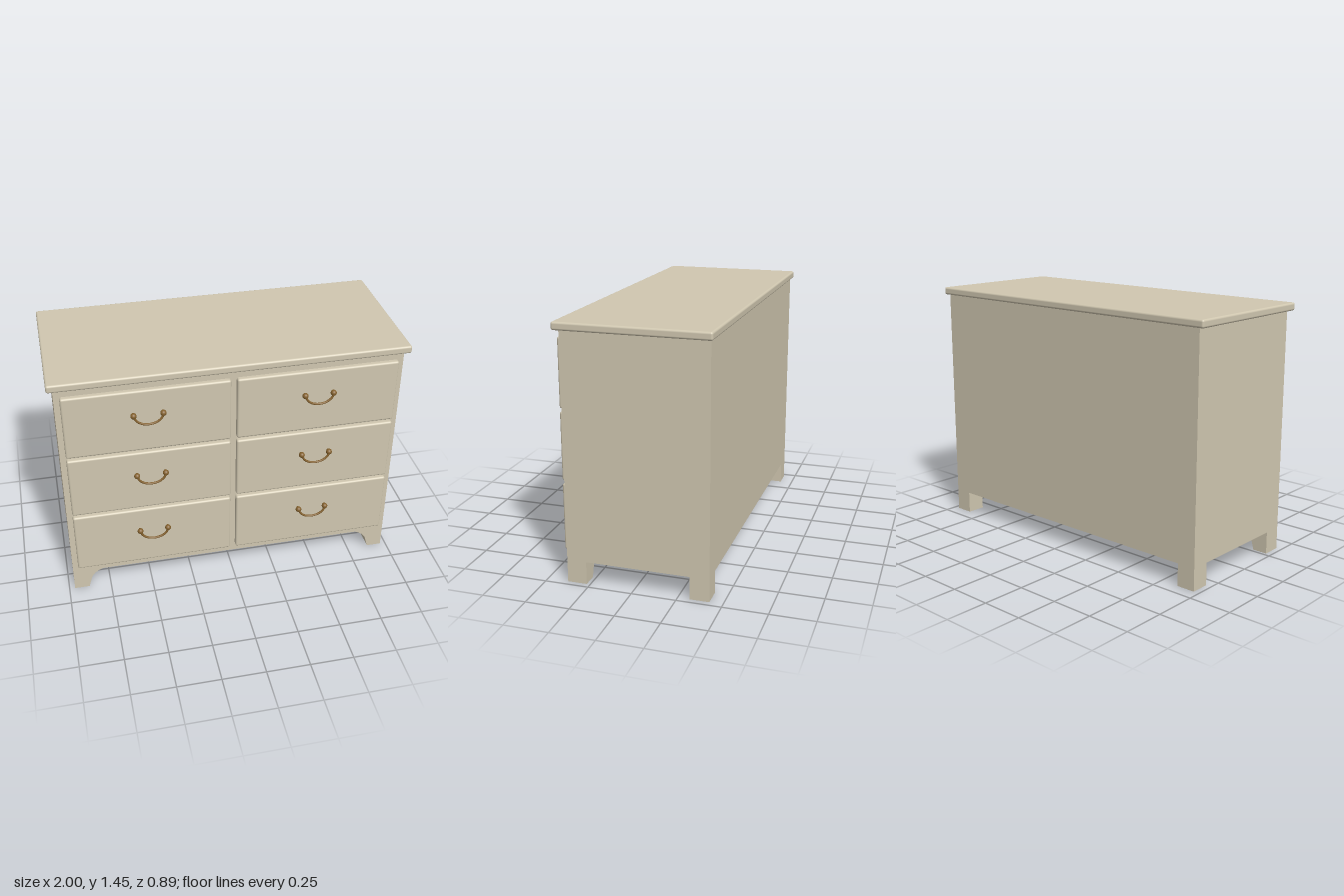
import * as THREE from 'three';
import { RoundedBoxGeometry } from 'three/addons/geometries/RoundedBoxGeometry.js';

export function createModel() {
  const model = new THREE.Group();
  model.name = 'chestOfDrawers';
  const paint = new THREE.MeshStandardMaterial({ name: 'creamPaint', color: 0xd0c7b0 });
  const brass = new THREE.MeshStandardMaterial({ name: 'agedBrass', color: 0x85622f });

  function add(parent, name, geometry, material, x = 0, y = 0, z = 0) {
    const mesh = new THREE.Mesh(geometry, material);
    mesh.name = name;
    mesh.position.set(x, y, z);
    parent.add(mesh);
    return mesh;
  }

  // Carcass and overhanging top
  add(model, 'carcass', new THREE.BoxGeometry(1.934, 1.28, 0.805), paint, 0, 0.77, -0.0225);
  add(model, 'top', new RoundedBoxGeometry(2, 0.045, 0.852, 3, 0.012), paint, 0, 1.4315, -0.016);

  // Front bracket foot outline, for the +x side
  const foot = [[0.967, 0], [0.967, 0.13], [0.79, 0.13], [0.815, 0.118], [0.84, 0.1], [0.858, 0.075], [0.88, 0]];
  for (const side of [-1, 1]) {
    const label = side > 0 ? 'left' : 'right';
    const outline = new THREE.Shape(foot.map(([x, y]) => new THREE.Vector2(x * side, y)));
    add(model, label + 'FrontFoot',
      new THREE.ExtrudeGeometry(outline, { depth: 0.11, bevelEnabled: false }), paint, 0, 0, 0.27);
    add(model, label + 'BackFoot',
      new THREE.BoxGeometry(0.109, 0.13, 0.11), paint, side * 0.9125, 0.065, -0.37);
  }

  // Drop handle: two knobs on stems with a hanging bail
  const bail = new THREE.CatmullRomCurve3([
    [-0.08, -0.004], [-0.067, -0.028], [-0.04, -0.048], [0, -0.056],
    [0.04, -0.048], [0.067, -0.028], [0.08, -0.004],
  ].map(([x, y]) => new THREE.Vector3(x, y, 0.437)));
  const bailGeometry = new THREE.TubeGeometry(bail, 28, 0.0065, 10);
  const knobGeometry = new THREE.SphereGeometry(0.017, 20, 14);
  const stemGeometry = new THREE.CylinderGeometry(0.008, 0.008, 0.03, 14).rotateX(Math.PI / 2);

  function createHandle(x, y) {
    const handle = new THREE.Group();
    handle.name = 'handle';
    handle.position.set(x, y, 0);
    add(handle, 'bail', bailGeometry, brass);
    for (const side of [-1, 1]) {
      add(handle, 'knob', knobGeometry, brass, side * 0.081, 0, 0.428);
      add(handle, 'stem', stemGeometry, brass, side * 0.081, 0, 0.415);
    }
    return handle;
  }

  // Two columns of three drawers, with softly rounded fronts
  const frontGeometry = new RoundedBoxGeometry(0.918, 0.384, 0.048, 3, 0.012);
  for (const side of [-1, 1]) {
    for (let row = 0; row < 3; row++) {
      const y = 0.367 + row * 0.402;
      add(model, 'drawerFront', frontGeometry, paint, side * 0.476, y, 0.384);
      model.add(createHandle(side * 0.476, y + 0.052));
    }
  }
  return model;
}
